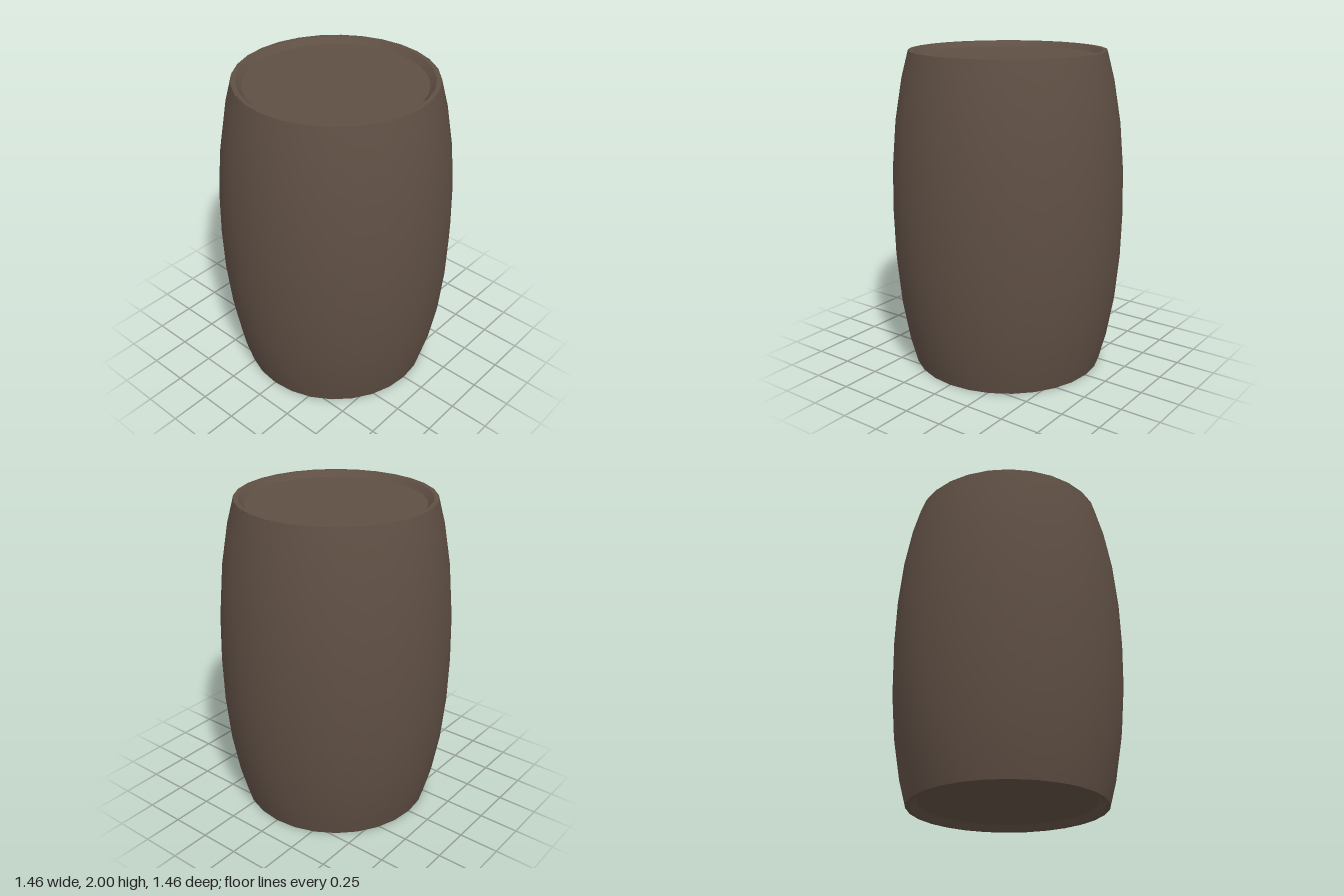
import * as THREE from 'three';

export function createModel() {
  const group = new THREE.Group();
  group.name = 'barrel';
  const wood = new THREE.MeshStandardMaterial({ color: 0x5f4f44 });
  wood.name = 'dark brown wood';
  const SIDES = 28;

  // Separate lathes keep the rim edges sharp and the round direction smooth.
  const turn = (name, profile) => {
    const points = profile.map(([r, y]) => new THREE.Vector2(r, y));
    const mesh = new THREE.Mesh(new THREE.LatheGeometry(points, SIDES), wood);
    mesh.name = name;
    group.add(mesh);
  };

  // Bulging staves, symmetric about mid height
  const lower = [[0.605, 0], [0.65, 0.17], [0.695, 0.43], [0.721, 0.72]];
  const upper = lower.map(([r, y]) => [r, 2 - y]).reverse();
  turn('staves', [...lower, [0.728, 1], ...upper]);

  // Flat rim, bevelled inner lip and recessed head at each end
  const end = [
    ['Head', [[0, 0.035], [0.543, 0.035]]],
    ['Lip', [[0.543, 0.035], [0.577, 0]]],
    ['Rim', [[0.577, 0], [0.605, 0]]],
  ];
  for (const [part, profile] of end) {
    turn('bottom' + part, profile);
    turn('top' + part, profile.map(([r, y]) => [r, 2 - y]).reverse());
  }
  return group;
}
